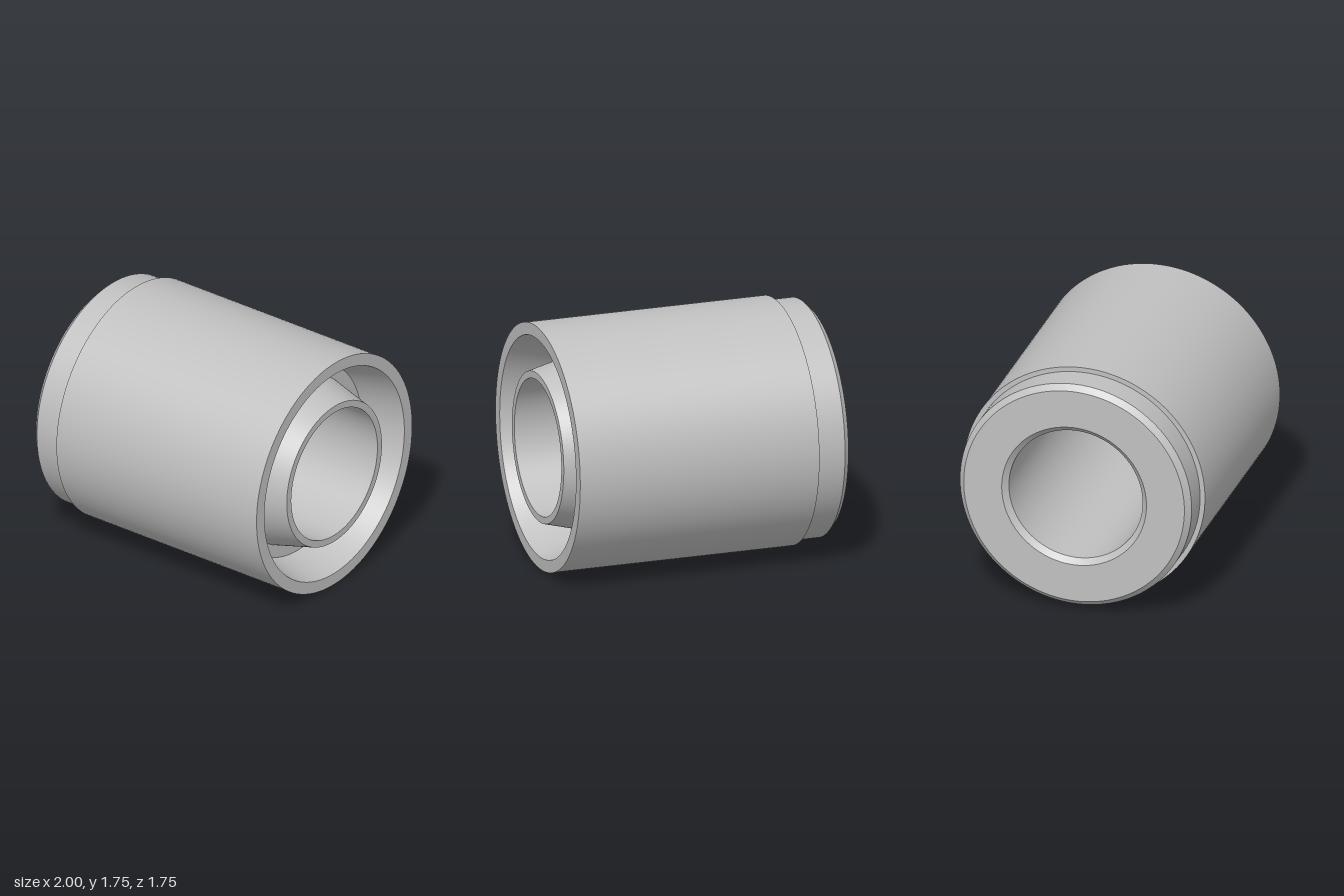
import * as THREE from 'three';
import { mergeGeometries } from 'three/addons/utils/BufferGeometryUtils.js';

const RADIUS = 0.875;
const SEGMENTS = 128;

// Revolve each profile span separately so that the corners stay sharp.
function revolve(profile) {
  const spans = [];
  for (let i = 0; i < profile.length - 1; i++) {
    const points = [profile[i], profile[i + 1]].map(([x, r]) => new THREE.Vector2(r, x));
    spans.push(new THREE.LatheGeometry(points, SEGMENTS));
  }
  return mergeGeometries(spans).rotateZ(-Math.PI / 2);
}

export function createModel() {
  const group = new THREE.Group();
  group.name = 'bushing';
  const grey = new THREE.MeshStandardMaterial({ color: 0xc0c0c0 });
  grey.name = 'light grey';

  // Profiles are [x, radius], run so that the faces point out of the solid.
  const parts = {
    // chamfered spigot, shoulder and main barrel
    outerShell: [[-1, 0.8], [-0.96, 0.84], [-0.76, 0.84], [-0.76, RADIUS], [1, RADIUS]],
    // rim, tapered annular pocket and inner tube end
    endPocket: [[1, RADIUS], [1, 0.787], [0.69, 0.705], [0.69, 0.615], [1, 0.535], [1, 0.485]],
    // through hole with a chamfered mouth
    bore: [[1, 0.485], [-0.96, 0.485], [-1, 0.525]],
    // flat ring on the spigot
    endFace: [[-1, 0.525], [-1, 0.8]],
  };

  for (const [name, profile] of Object.entries(parts)) {
    const mesh = new THREE.Mesh(revolve(profile), grey);
    mesh.name = name;
    mesh.position.y = RADIUS;
    group.add(mesh);
  }
  return group;
}
